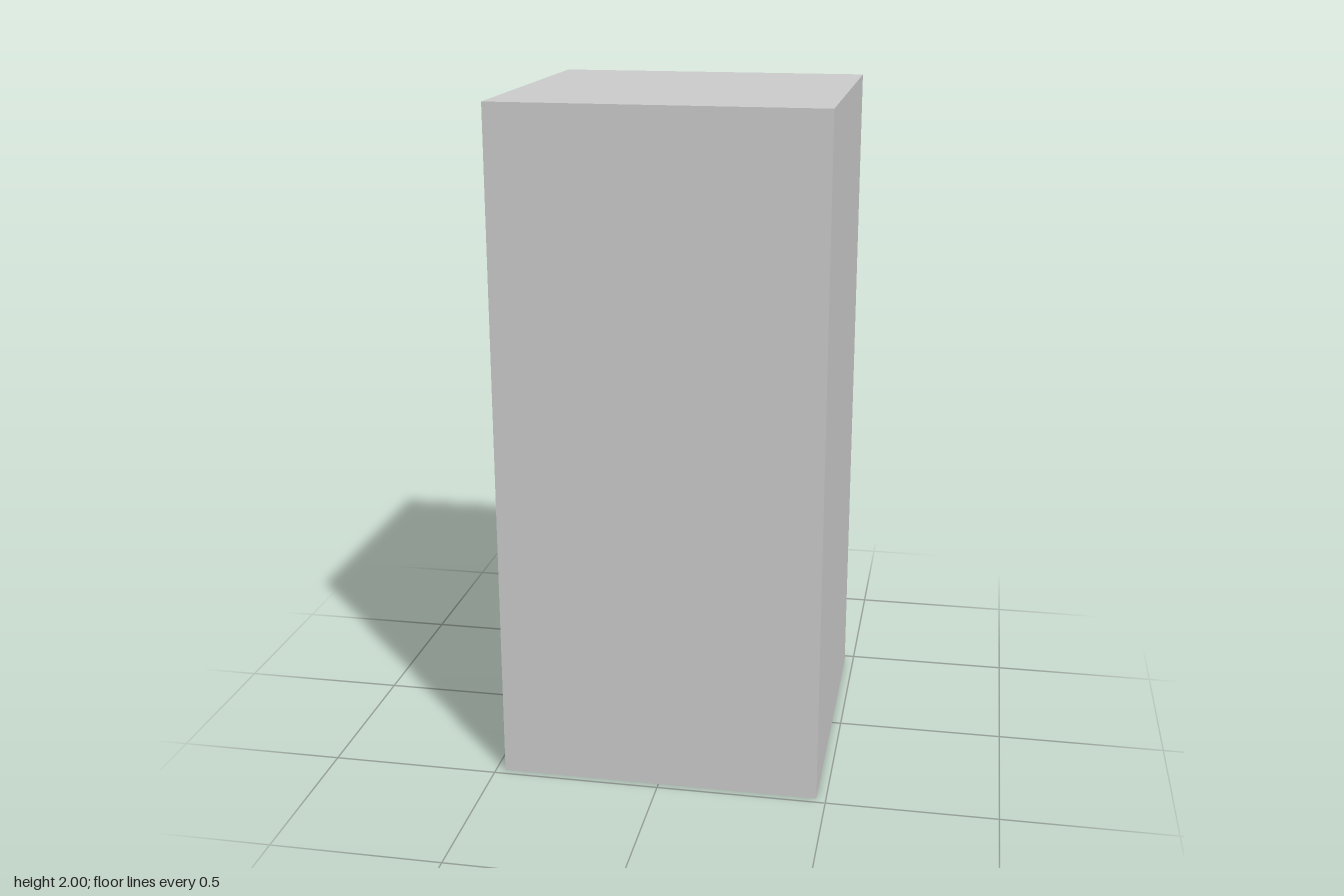
import * as THREE from 'three';

export function createModel() {
  const group = new THREE.Group();
  group.name = 'drawerCabinet';

  const lightGrey = new THREE.MeshStandardMaterial({ color: 0xcccccc });
  lightGrey.name = 'lightGrey';

  const addBox = (name, w, h, d, y, z) => {
    const mesh = new THREE.Mesh(new THREE.BoxGeometry(w, h, d), lightGrey);
    mesh.name = name;
    mesh.position.set(0, y, z);
    group.add(mesh);
  };

  // Cabinet body
  const backZ = -0.466, frontZ = 0.479;
  addBox('cabinetBody', 0.944, 2, frontZ - backZ, 1, (frontZ + backZ) / 2);

  // Three drawer panels standing slightly proud of the -z side
  const thickness = 0.013;
  ['lowerDrawer', 'middleDrawer', 'upperDrawer'].forEach((name, i) => {
    addBox(name, 0.831, 0.577, thickness, 0.35 + i * 0.602, backZ - thickness / 2);
  });

  return group;
}
